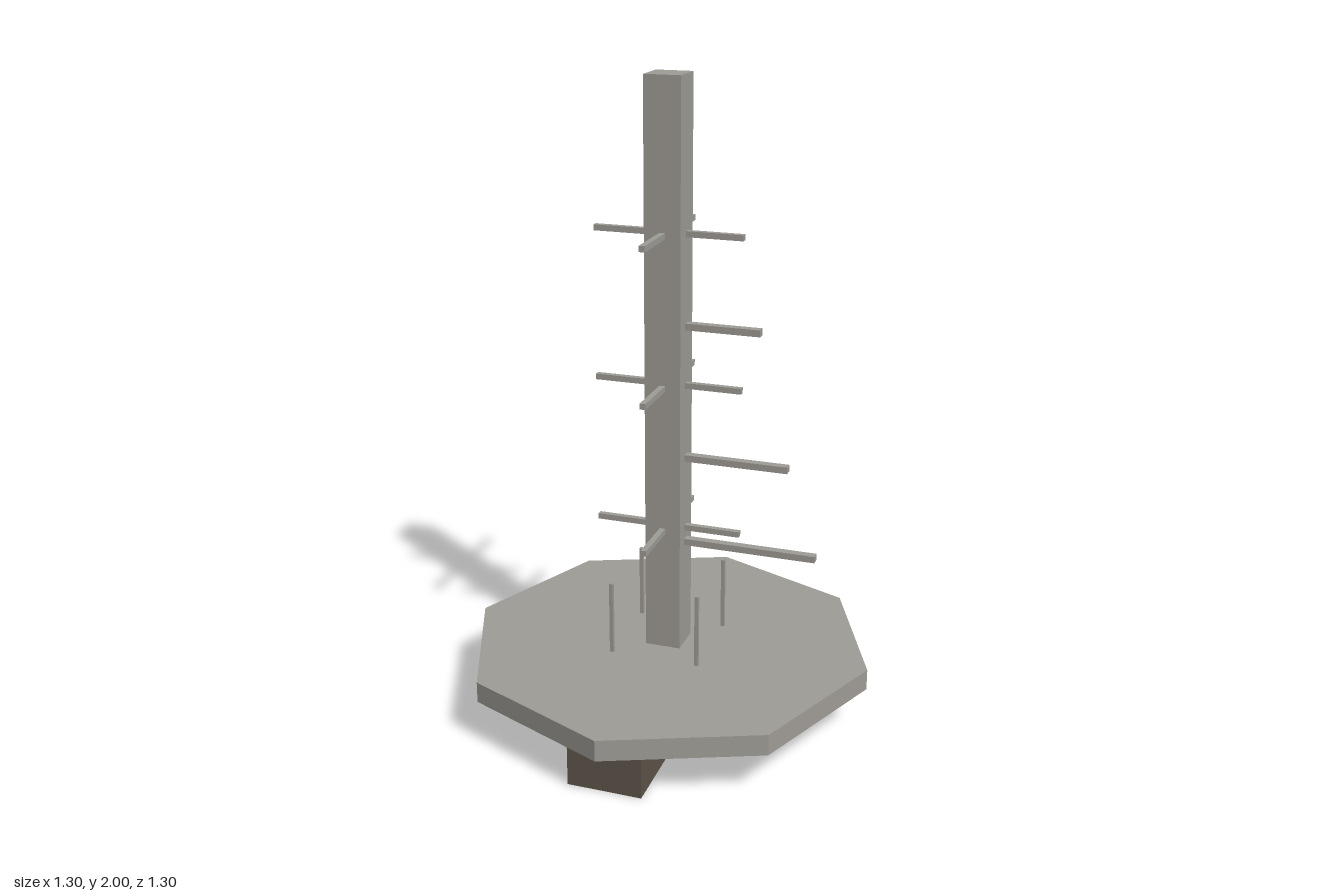
import * as THREE from 'three';

export function createModel() {
  const model = new THREE.Group();
  const stone = new THREE.MeshStandardMaterial({ color: 0x9f9c96 });
  stone.name = 'warm grey';
  stone.flatShading = true;
  const wood = new THREE.MeshStandardMaterial({ color: 0x5e544a });
  wood.name = 'dark brown';

  const add = (name, geometry, material, x, y, z) => {
    const mesh = new THREE.Mesh(geometry, material);
    mesh.name = name;
    mesh.position.set(x, y, z);
    model.add(mesh);
    return mesh;
  };
  const box = (name, material, w, h, d, x, y, z) =>
    add(name, new THREE.BoxGeometry(w, h, d), material, x, y, z);

  // Long beam carrying the octagonal platform, and the square mast
  box('baseBeam', wood, 0.23, 0.142, 1.162, 0, 0.071, 0);
  add('platform', new THREE.CylinderGeometry(0.65, 0.65, 0.067, 8), stone, 0, 0.1755, 0);
  const half = 0.0565;
  box('mast', stone, half * 2, 1.791, half * 2, 0, 1.1045, 0);

  // Three tiers of four short pegs
  const reach = 0.232, pegLength = reach - half, pegCentre = (reach + half) / 2;
  for (const y of [0.608, 1.074, 1.54]) {
    for (const side of [-1, 1]) {
      box('sidePeg', stone, pegLength, 0.018, 0.018, side * pegCentre, y, 0);
      box('endPeg', stone, 0.018, 0.018, pegLength, 0, y, side * pegCentre);
    }
  }

  // Longer arms on the left side, shortening upwards
  for (const [y, end] of [[0.561, 0.474], [0.841, 0.381], [1.26, 0.288]]) {
    box('longArm', stone, end - half, 0.021, 0.026, (end + half) / 2, y, 0);
  }

  // Four thin upright rods on the platform
  for (const x of [-0.14, 0.14]) {
    for (const z of [-0.14, 0.14]) box('uprightRod', stone, 0.012, 0.236, 0.012, x, 0.327, z);
  }
  return model;
}
